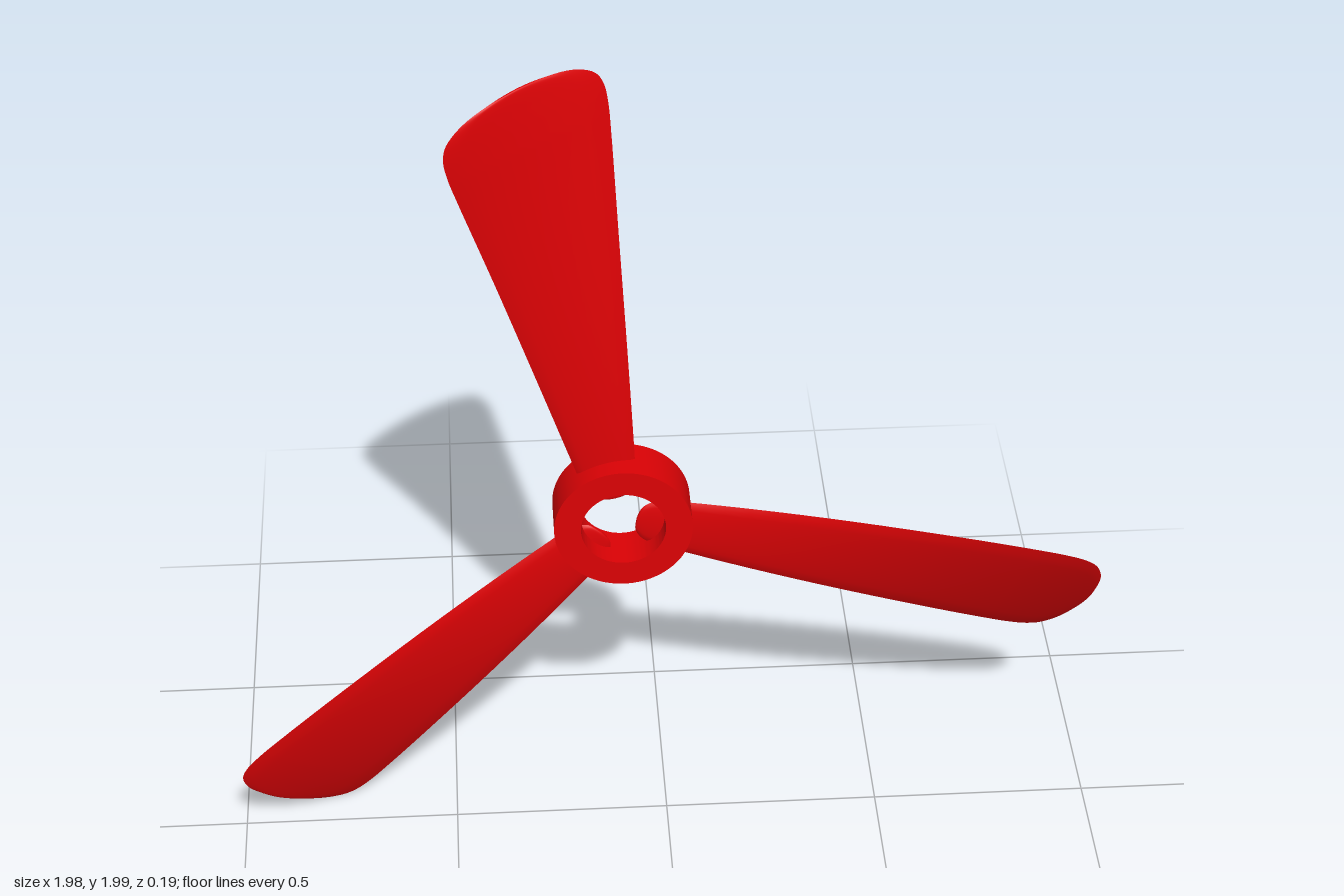
import * as THREE from 'three';
import { toCreasedNormals } from 'three/addons/utils/BufferGeometryUtils.js';

const red = new THREE.MeshStandardMaterial({ color: 0xdc0205 });

// Half outline of a blade from its rounded root to its broad tip: [half width, radius]
const outline = new THREE.CatmullRomCurve3([
  [0, 0.048], [0.032, 0.054], [0.052, 0.074], [0.061, 0.1], [0.068, 0.15], [0.1, 0.4],
  [0.137, 0.7], [0.167, 0.94], [0.173, 1.0], [0.172, 1.045], [0.159, 1.077],
  [0.117, 1.106], [0.05, 1.122], [0, 1.126],
].map(([x, y]) => new THREE.Vector3(x, y, 0)), false, 'centripetal');

// One face of the twisted, lens-shaped blade: side +1 is the front, -1 the back
function bladeFace(side, twistSign) {
  const geo = new THREE.PlaneGeometry(2, 1, 14, 65);
  const pos = geo.attributes.position;
  for (let i = 0; i < pos.count; i++) {
    const u = side * pos.getX(i);
    const v = THREE.MathUtils.clamp(pos.getY(i) + 0.5, 0, 1);
    const p = outline.getPoint(v);
    const x = u * p.x;
    const twist = 0.6 * Math.max(p.y - 0.12, 0) * twistSign;
    const endFade = Math.sqrt(Math.min(1, v / 0.25, (1 - v) / 0.4));
    const thick = 0.01 * endFade * Math.sqrt(Math.max(0, 1 - u * u));
    pos.setXYZ(i, x, p.y, -twist * x + side * thick);
  }
  geo.computeVertexNormals();
  return geo;
}

export function createModel() {
  const model = new THREE.Group();
  model.name = 'propeller';
  const rotor = new THREE.Group();
  rotor.name = 'rotor';
  rotor.position.set(-0.1, 0.885, 0);
  model.add(rotor);

  // Hub ring
  const ring = new THREE.Shape().absarc(0, 0, 0.155, 0, Math.PI * 2, false);
  ring.holes.push(new THREE.Path().absarc(0, 0, 0.095, 0, Math.PI * 2, true));
  const ringGeo = new THREE.ExtrudeGeometry(ring, { depth: 0.11, bevelEnabled: false, curveSegments: 48 });
  ringGeo.translate(0, 0, -0.055);
  const hub = new THREE.Mesh(toCreasedNormals(ringGeo, 0.6), red);
  hub.name = 'hubRing';
  rotor.add(hub);

  // Three blades: angle from upright, sideways and outward shift, twist direction
  [
    ['topBlade', 10.1, -0.012, 0, 1],
    ['lowerRightBlade', 134.65, 0, 0.018, -1],
    ['lowerLeftBlade', -105.2, 0.003, -0.014, 1],
  ].forEach(([name, angle, across, outward, twistSign]) => {
    const blade = new THREE.Group();
    blade.name = name;
    blade.rotation.z = THREE.MathUtils.degToRad(angle);
    [[1, 'FrontFace'], [-1, 'BackFace']].forEach(([side, part]) => {
      const face = new THREE.Mesh(bladeFace(side, twistSign), red);
      face.name = name + part;
      face.position.set(across, outward, 0);
      blade.add(face);
    });
    rotor.add(blade);
  });

  return model;
}
